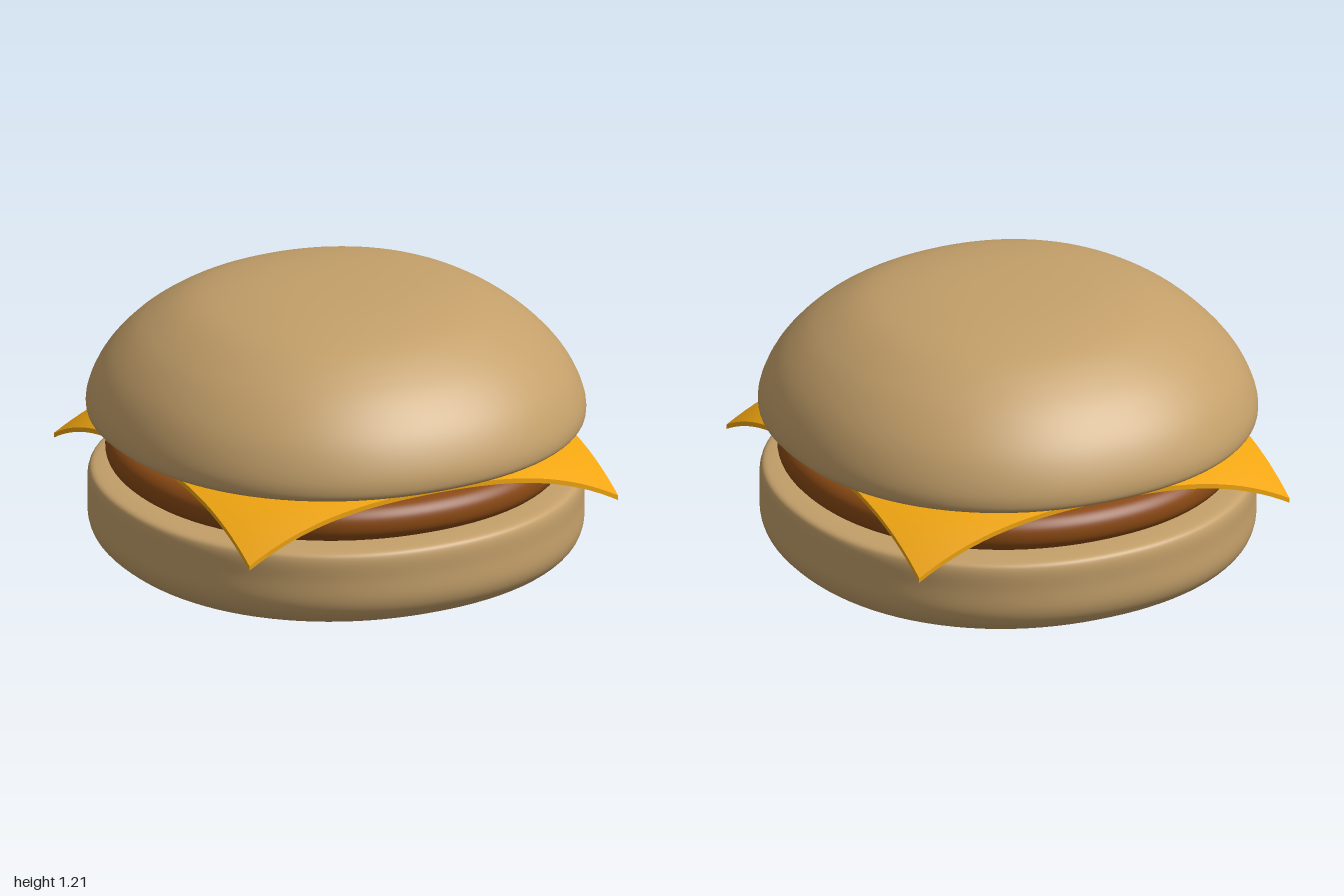
import * as THREE from 'three';
import { mergeVertices } from 'three/addons/utils/BufferGeometryUtils.js';

const material = (color) => new THREE.MeshStandardMaterial({ color });

// Smooth profile [radius, height] from bottom to top, turned around y
// and swelled slightly towards the diagonals (superellipse of power n).
function roundPart(name, points, n, mat) {
  const curve = new THREE.CatmullRomCurve3(
    points.map(([r, y]) => new THREE.Vector3(r, y, 0)), false, 'centripetal');
  const profile = curve.getPoints(72).map((p) => new THREE.Vector2(Math.max(p.x, 0), p.y));
  let geo = new THREE.LatheGeometry(profile, 96);
  const pos = geo.attributes.position;
  for (let i = 0; i < pos.count; i++) {
    const x = pos.getX(i), z = pos.getZ(i), r = Math.hypot(x, z);
    if (r < 1e-6) continue;
    const k = Math.pow(Math.abs(x / r) ** n + Math.abs(z / r) ** n, -1 / n);
    pos.setXYZ(i, x * k, pos.getY(i), z * k);
  }
  geo.deleteAttribute('uv');
  geo.deleteAttribute('normal');
  geo = mergeVertices(geo, 1e-5);
  geo.computeVertexNormals();
  const mesh = new THREE.Mesh(geo, mat);
  mesh.name = name;
  return mesh;
}

// Thin square slice whose corners droop beyond the patty
function cheeseSlice(mat) {
  const geo = new THREE.BoxGeometry(1.7, 0.02, 1.7, 40, 1, 40);
  const pos = geo.attributes.position;
  for (let i = 0; i < pos.count; i++) {
    const d = Math.max(0, Math.hypot(pos.getX(i), pos.getZ(i)) - 0.72);
    pos.setY(i, pos.getY(i) + 0.61 - 0.85 * d * d);
  }
  geo.computeVertexNormals();
  const mesh = new THREE.Mesh(geo, mat);
  mesh.name = 'cheeseSlice';
  return mesh;
}

export function createModel() {
  const model = new THREE.Group();
  model.name = 'cheeseburger';
  const bun = material(0xc4a06a);

  model.add(roundPart('bottomBun', [
    [0, 0], [0.3, 0.008], [0.6, 0.028], [0.8, 0.058], [0.91, 0.095], [0.97, 0.145],
    [0.993, 0.2], [0.995, 0.3], [0.994, 0.385], [0.982, 0.41], [0.94, 0.42],
    [0.6, 0.422], [0, 0.422],
  ], 2.13, bun));

  model.add(roundPart('patty', [
    [0, 0.42], [0.6, 0.42], [0.83, 0.424], [0.89, 0.438], [0.92, 0.468], [0.928, 0.505],
    [0.92, 0.542], [0.89, 0.572], [0.83, 0.584], [0.6, 0.598], [0, 0.6],
  ], 2.1, material(0x8b4a14)));

  model.add(cheeseSlice(material(0xf0a510)));

  model.add(roundPart('topBun', [
    [0, 0.625], [0.6, 0.626], [0.88, 0.632], [0.965, 0.641], [0.992, 0.658], [0.999, 0.7],
    [0.985, 0.765], [0.94, 0.86], [0.87, 0.95], [0.77, 1.04], [0.6, 1.138],
    [0.4, 1.188], [0.2, 1.208], [0, 1.213],
  ], 2.16, bun));

  return model;
}
